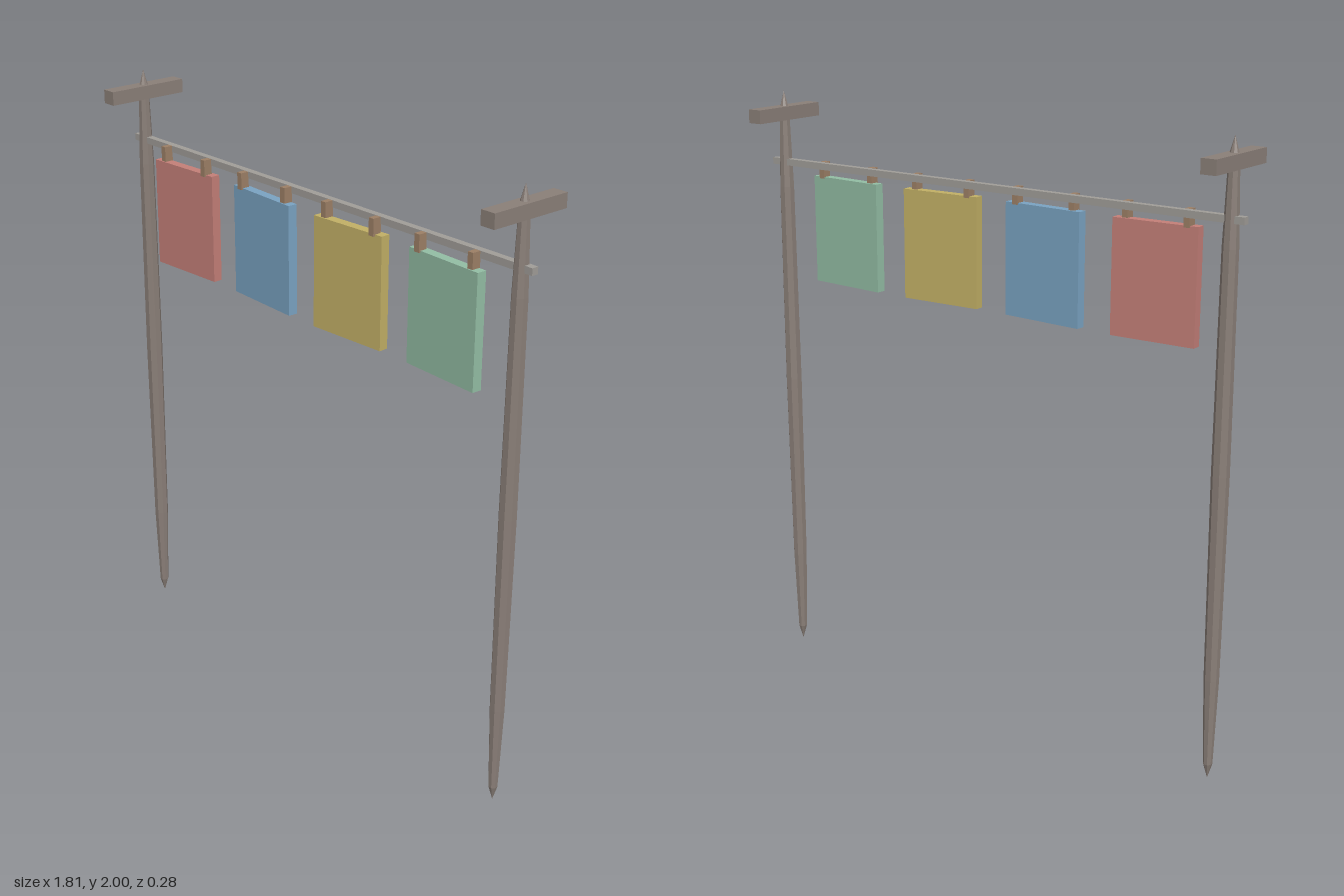
import * as THREE from 'three';

const mat = (color) => new THREE.MeshStandardMaterial({ color, flatShading: true });

function addMesh(parent, name, geometry, material, x, y, z) {
  const mesh = new THREE.Mesh(geometry, material);
  mesh.name = name;
  mesh.position.set(x, y, z);
  parent.add(mesh);
  return mesh;
}

export function createModel() {
  const model = new THREE.Group();
  model.name = 'bannerStand';
  const wood = mat(0x8a7f78);
  const railMaterial = mat(0xa09d98);
  const tabMaterial = mat(0x9c7f66);

  // Posts: staked at the foot, slimmer towards a pointed top (radius, height)
  const profile = [
    [0, 0], [0.015, 0.05], [0.024, 0.34], [0.028, 1.0],
    [0.025, 1.68], [0.018, 1.9], [0.017, 1.94], [0, 2],
  ].map(([r, y]) => new THREE.Vector2(r, y));
  const postGeometry = new THREE.LatheGeometry(profile, 8);
  postGeometry.rotateY(Math.PI / 8);
  const beamGeometry = new THREE.BoxGeometry(0.05, 0.045, 0.285);
  for (const side of [-1, 1]) {
    const post = new THREE.Group();
    post.name = side > 0 ? 'leftPost' : 'rightPost';
    post.position.x = side * 0.857;
    addMesh(post, 'stake', postGeometry, wood, 0, 0, 0);
    addMesh(post, 'crossbeam', beamGeometry, wood, 0, 1.928, 0);
    model.add(post);
  }

  // Rail between the posts
  addMesh(model, 'rail', new THREE.BoxGeometry(1.81, 0.022, 0.023), railMaterial, 0, 1.764, -0.002);

  // Panels, each turned a little and hung from two tabs
  const panelGeometry = new THREE.BoxGeometry(0.284, 0.36, 0.032);
  const tabGeometry = new THREE.BoxGeometry(0.02, 0.055, 0.03);
  [0xc47f78, 0x7aa3c2, 0xc2b066, 0x93bda4].forEach((color, i) => {
    const banner = new THREE.Group();
    banner.name = 'banner' + (i + 1);
    banner.position.x = -0.602 + i * 0.4;
    const panel = addMesh(banner, 'panel', panelGeometry, mat(color), 0, 1.545, 0.021);
    panel.rotation.y = i % 2 ? -0.05 : 0.05;
    for (const side of [-1, 1]) {
      addMesh(banner, 'tab', tabGeometry, tabMaterial, side * 0.105, 1.747, 0.023);
    }
    model.add(banner);
  });

  return model;
}
